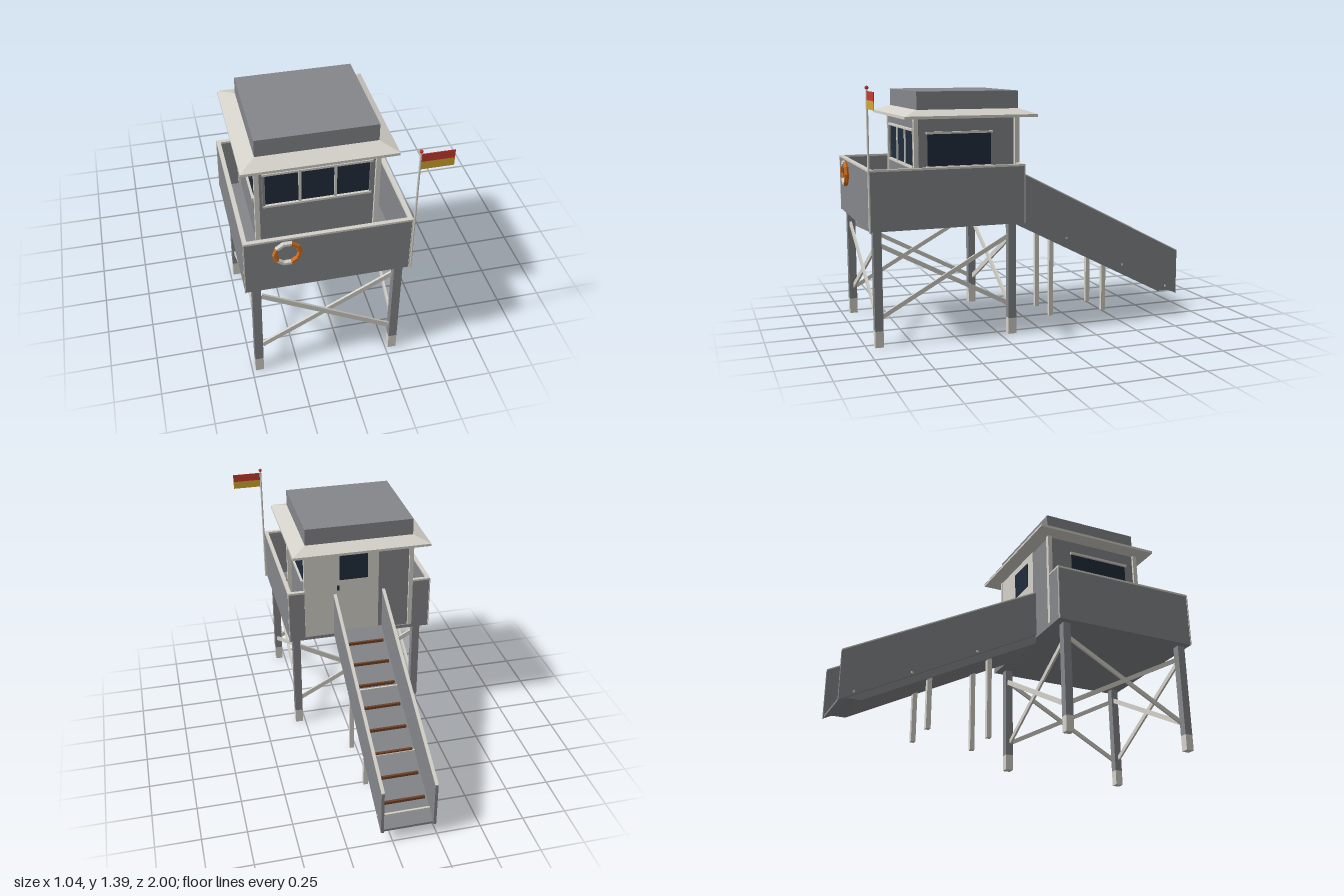
import * as THREE from 'three';

const mat = (name, color) => {
  const m = new THREE.MeshStandardMaterial({ color });
  m.name = name;
  return m;
};

export function createModel() {
  const grey = mat('grey panel', 0x85868a), light = mat('pale timber', 0xd3d1c9);
  const glass = mat('dark glass', 0x212d3c), brown = mat('brown wood', 0x6e4026);
  const orange = mat('orange', 0xd0701f), red = mat('red', 0xc63a30), yellow = mat('yellow', 0xd2a72e);
  const root = new THREE.Group();
  const CX = -0.0925; // tower centre line

  const add = (name, geo, m, parent = root) => {
    const mesh = new THREE.Mesh(geo, m);
    mesh.name = name;
    parent.add(mesh);
    return mesh;
  };
  // box given by its limits on each axis
  const box = (name, m, x0, x1, y0, y1, z0, z1) => {
    const b = add(name, new THREE.BoxGeometry(x1 - x0, y1 - y0, z1 - z0), m);
    b.position.set((x0 + x1) / 2, (y0 + y1) / 2, (z0 + z1) / 2);
    return b;
  };
  // square bar between two points
  const bar = (name, m, a, b, w, d) => {
    const p = new THREE.Vector3(...a), q = new THREE.Vector3(...b);
    const mesh = add(name, new THREE.BoxGeometry(w, d, p.distanceTo(q)), m);
    mesh.position.copy(p).add(q).multiplyScalar(0.5);
    mesh.lookAt(q);
    return mesh;
  };
  // side outline in (z, y) extruded along x
  const sideProfile = (name, m, pts, x0, x1) => {
    const s = new THREE.Shape(pts.map(([z, y]) => new THREE.Vector2(-z, y)));
    const g = new THREE.ExtrudeGeometry(s, { depth: x1 - x0, bevelEnabled: false });
    g.rotateY(Math.PI / 2);
    const mesh = add(name, g, m);
    mesh.position.x = x0;
    return mesh;
  };

  // legs with pale feet
  const legX = [-0.46, 0.2875], legZ = [0.18, 0.932];
  for (const x of legX) for (const z of legZ) {
    box('leg', grey, x - 0.0225, x + 0.0225, 0.09, 0.635, z - 0.0225, z + 0.0225);
    box('foot', light, x - 0.0225, x + 0.0225, 0, 0.09, z - 0.0225, z + 0.0225);
  }
  // crossed braces on all four sides
  for (const [lo, hi] of [[0.17, 0.552], [0.552, 0.17]]) {
    legZ.forEach((z, i) => bar('crossBrace', light,
      [-0.437, lo, z + (lo > hi ? 0.006 : -0.006)], [0.265, hi, z + (lo > hi ? 0.006 : -0.006)], 0.012, 0.028));
    legX.forEach((x) => bar('sideBrace', light,
      [x + (lo > hi ? 0.006 : -0.006), lo + 0.005, 0.203], [x + (lo > hi ? 0.006 : -0.006), hi - 0.005, 0.909], 0.012, 0.024));
  }

  // deck and parapet
  const X0 = -0.52, X1 = 0.335, Z0 = 0.115, Z1 = 0.975, T = 0.018;
  box('deck', grey, X0, X1, 0.63, 0.65, Z0, Z1);
  box('deckStrip', brown, -0.49, 0.315, 0.65, 0.656, 0.826, 0.836);
  for (const [a, b, c, d] of [
    [X0, X1, Z1 - T, Z1], [X0, X0 + T, Z0 + T, Z1 - T], [X1 - T, X1, Z0 + T, Z1 - T],
    [X0, -0.412, Z0, Z0 + T], [0.238, X1, Z0, Z0 + T]]) {
    box('parapet', grey, a, b, 0.65, 0.945, c, d);
    box('parapetCap', light, a - 0.002, b + 0.002, 0.945, 0.956, c - 0.002, d + 0.002);
  }
  for (const x of [X0, X1]) for (const z of [Z0, Z1])
    box('cornerTrim', light, x - 0.003, x + 0.003, 0.63, 0.95, z - 0.003, z + 0.003);

  // cabin with corner posts
  box('cabin', grey, -0.4, 0.215, 0.65, 1.215, 0.125, 0.695);
  for (const x of [-0.402, 0.228]) for (const z of [0.125, 0.698])
    box('cornerPost', light, x - 0.0125, x + 0.0125, 0.65, 1.213, z - 0.0125, z + 0.0125);

  // front window
  const WF = 0.695;
  box('frontWindow', glass, -0.36, 0.19, 0.95, 1.14, WF, WF + 0.004);
  for (const y of [0.942, 1.146]) box('windowRail', light, -0.372, 0.198, y - 0.006, y + 0.006, WF, WF + 0.016);
  for (const x of [-0.366, -0.18, 0.006, 0.192])
    box('mullion', x < -0.3 || x > 0.15 ? grey : light, x - 0.007, x + 0.007, 0.948, 1.14, WF, WF + 0.012);

  // side windows
  for (const [x, s] of [[-0.4, -1], [0.215, 1]]) {
    const strip = (name, m, y0, y1, z0, z1, t) =>
      box(name, m, Math.min(x, x + s * t), Math.max(x, x + s * t), y0, y1, z0, z1);
    strip('sideWindow', glass, 0.95, 1.124, 0.27, 0.63, 0.004);
    for (const y of [0.944, 1.13]) strip('windowRail', light, y - 0.006, y + 0.006, 0.262, 0.638, 0.016);
  }

  // pale back wall with door window and handle
  box('backPanel', light, -0.205, 0.216, 0.65, 1.212, 0.117, 0.125);
  box('doorWindow', glass, -0.138, 0.03, 1.01, 1.165, 0.113, 0.117);
  box('doorHandle', glass, 0.033, 0.045, 0.945, 0.975, 0.107, 0.117);

  // eaves: flat fascia, sloped skirt, then the roof block
  const RZ = 0.4025, RX = -0.0875;
  box('fascia', light, -0.49, 0.315, 1.21, 1.225, 0.032, 0.777);
  const skirt = new THREE.BoxGeometry(0.805, 0.03, 0.745).toNonIndexed();
  const p = skirt.attributes.position;
  for (let i = 0; i < p.count; i++) if (p.getY(i) > 0) {
    p.setX(i, p.getX(i) * 0.635 / 0.805);
    p.setZ(i, p.getZ(i) * 0.575 / 0.745);
  }
  skirt.computeVertexNormals();
  add('eaves', skirt, light).position.set(RX, 1.24, RZ);
  box('roofBlock', grey, -0.405, 0.23, 1.25, 1.352, 0.115, 0.69);

  // stair ramp with side panels
  sideProfile('ramp', grey, [[0.118, 0.667], [-0.995, 0.088], [-0.995, 0.074], [-0.95, 0.09], [-0.88, 0.09], [0.118, 0.6]], -0.228, 0.052);
  for (const x of [-0.243, 0.05]) {
    sideProfile('stairPanel', grey, [[0.114, 0.912], [-1, 0.34], [-1, 0.07], [0.114, 0.645]], x, x + 0.016);
    sideProfile('stairPanelCap', light, [[0.114, 0.92], [-1, 0.347], [-1, 0.34], [0.114, 0.912]], x - 0.001, x + 0.017);
  }
  // treads
  for (let i = 0; i < 8; i++) {
    const z = 0.022 - i * 0.1273;
    const y = 0.667 + (z - 0.118) * 0.5202;
    box('tread', brown, -0.215, 0.038, y - 0.01, y + 0.012, z - 0.007, z + 0.007);
  }
  // small cross pins through the panels
  for (const [z, y] of [[-0.25, 0.472], [-0.62, 0.282], [-0.925, 0.125]])
    box('crossPin', light, -0.247, 0.07, y - 0.006, y + 0.006, z - 0.006, z + 0.006);
  // stair posts
  for (const x of [-0.203, 0.027]) for (const [z, h] of [[-0.165, 0.46], [-0.51, 0.285]])
    box('stairPost', light, x - 0.013, x + 0.013, 0, h, z - 0.013, z + 0.013);

  // flag
  const pole = add('flagPole', new THREE.CylinderGeometry(0.006, 0.006, 0.745, 8), light);
  pole.position.set(0.343, 1.0, 0.976);
  add('poleBall', new THREE.SphereGeometry(0.01, 10, 8), red).position.set(0.343, 1.378, 0.976);
  box('flagTop', red, 0.347, 0.515, 1.316, 1.361, 0.974, 0.978);
  box('flagBottom', yellow, 0.347, 0.515, 1.271, 1.316, 0.974, 0.978);

  // faceted life ring in alternating arcs
  const ring = new THREE.Group();
  ring.name = 'lifeRing';
  ring.position.set(-0.305, 0.87, 0.987);
  root.add(ring);
  const step = Math.PI / 5;
  for (const [start, n, m] of [[-2, 4, orange], [2, 2, light], [4, 2, orange], [6, 2, light]]) {
    const g = new THREE.TorusGeometry(0.064, 0.0135, 6, n, n * step).toNonIndexed();
    g.computeVertexNormals();
    add('ringArc', g, m, ring).rotation.z = start * step;
  }
  return root;
}
